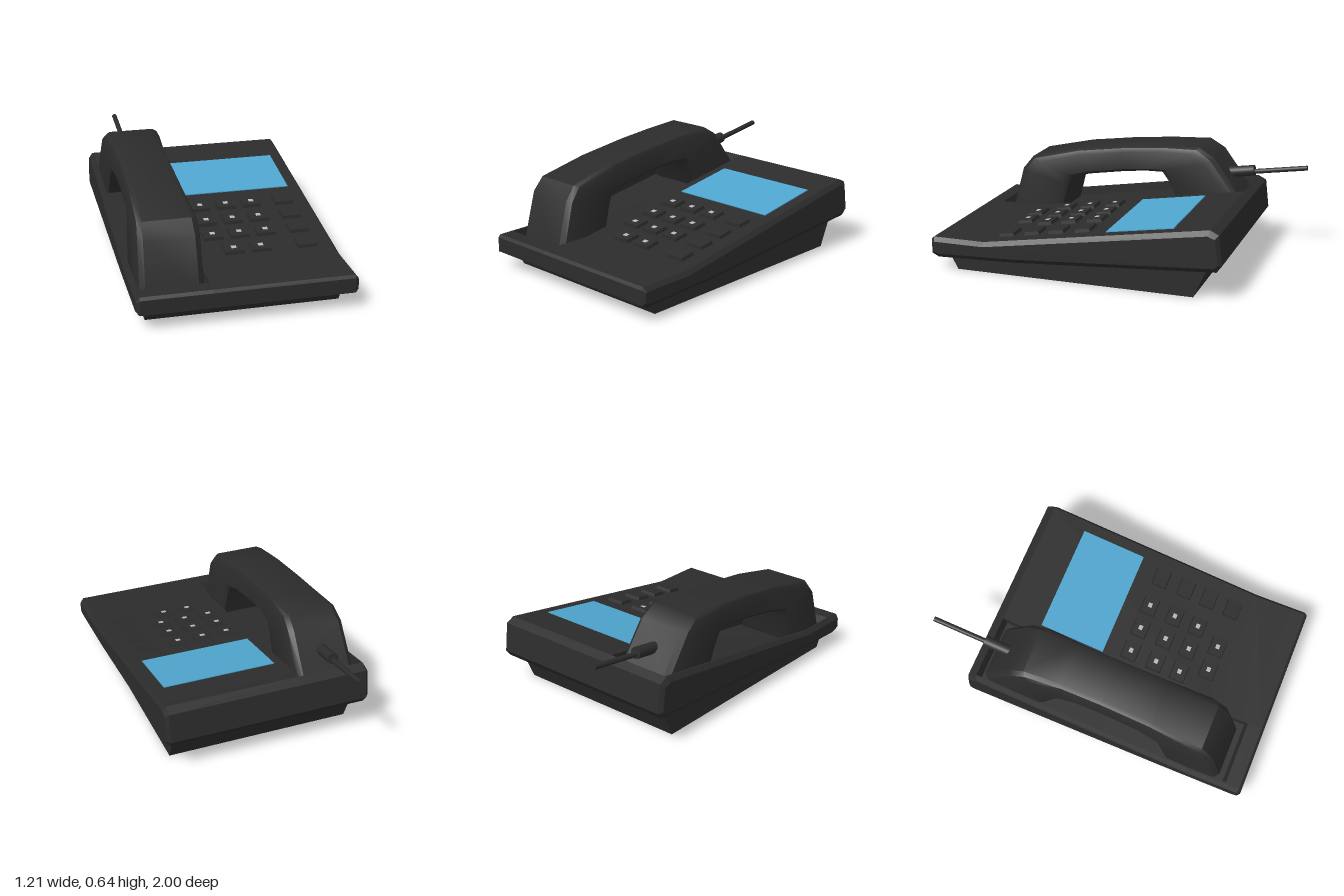
import * as THREE from 'three';
import { toCreasedNormals } from 'three/addons/utils/BufferGeometryUtils.js';

const mat = (name, color) => Object.assign(new THREE.MeshStandardMaterial({ color }), { name });

// Skin over rings of [x, y, z] points; optional end caps lie in planes of constant x.
function loft(rings, crease, capped) {
  const n = rings[0].length;
  const index = [];
  for (let i = 0; i < rings.length - 1; i++) {
    for (let j = 0; j < n; j++) {
      const a = i * n + j, b = i * n + (j + 1) % n, c = b + n, d = a + n;
      index.push(a, c, b, a, d, c);
    }
  }
  if (capped) {
    for (const r of [0, rings.length - 1]) {
      const pts = rings[r].map((p) => new THREE.Vector2(p[2], p[1]));
      for (const [a, b, c] of THREE.ShapeUtils.triangulateShape(pts, [])) {
        const area = THREE.ShapeUtils.area([pts[a], pts[b], pts[c]]);
        const keep = (area > 0) === (r === 0);
        index.push(r * n + a, r * n + (keep ? b : c), r * n + (keep ? c : b));
      }
    }
  }
  const geo = new THREE.BufferGeometry();
  geo.setAttribute('position', new THREE.Float32BufferAttribute(rings.flat(2), 3));
  geo.setIndex(index);
  return toCreasedNormals(geo, crease);
}

export function createModel() {
  const dark = mat('charcoal plastic', 0x2c2c2c);
  const blue = mat('blue screen', 0x4fa6d0);
  const pale = mat('pale key mark', 0xb8b8b8);
  const model = new THREE.Group();
  model.name = 'deskPhone';
  const add = (name, geo, material, parent = model) => {
    const mesh = new THREE.Mesh(geo, material);
    mesh.name = name;
    parent.add(mesh);
    return mesh;
  };

  // Side profiles as [z, y], running from the front over the top to the back
  const under = [[-0.71, 0.385], [-0.73, 0.215], [-0.7, 0.175], [0.5, 0.095], [0.96, 0.08], [1, 0.1]];
  const full = [[1, 0.185], [0.985, 0.2], [0.67, 0.2], [-0.66, 0.41], ...under];
  const inset = [[0.985, 0.17], [0.975, 0.175], [0.67, 0.175], [-0.65, 0.38], [-0.69, 0.365],
    [-0.71, 0.22], [-0.69, 0.2], [0.5, 0.12], [0.95, 0.105], [0.985, 0.115]];
  const recess = [[1, 0.185], [0.985, 0.2], [0.9, 0.2], [0.88, 0.15], [0.67, 0.15],
    [-0.64, 0.35], [-0.66, 0.41], ...under];
  const at = (x, profile) => profile.map(([z, y]) => [x, y, z]);

  // Body: chamfered outer rim, sunken cradle, and the wide control side
  const body = new THREE.Group();
  body.name = 'body';
  model.add(body);
  add('cradleRim', loft([at(-0.605, inset), at(-0.585, full), at(-0.575, full)], 0.2, true), dark, body);
  add('cradle', loft([at(-0.575, recess), at(-0.195, recess)], 0.2, true), dark, body);
  add('controlSide', loft([at(-0.195, full), at(0.585, full), at(0.605, inset)], 0.2, true), dark, body);

  // Foot under the body
  const foot = [[0.92, 0.11], [-0.65, 0.2], [-0.56, 0], [0.86, 0]];
  add('foot', loft([at(-0.54, foot), at(0.54, foot)], 0.2, true), dark);

  // Handset: [outer z, outer y, inner z, inner y, half width] from front foot to back foot
  const handset = new THREE.Group();
  handset.name = 'handset';
  handset.position.x = -0.385;
  model.add(handset);
  const stations = [
    [0.85, 0.14, 0.52, 0.14, 0.187], [0.775, 0.42, 0.465, 0.35, 0.18], [0.71, 0.5, 0.44, 0.395, 0.172],
    [0.4, 0.572, 0.33, 0.42, 0.155], [0.1, 0.612, 0.1, 0.455, 0.15], [-0.15, 0.633, -0.04, 0.47, 0.152],
    [-0.37, 0.64, -0.145, 0.475, 0.168], [-0.46, 0.585, -0.19, 0.42, 0.177], [-0.635, 0.345, -0.26, 0.28, 0.182],
  ];
  // Cross-section: [share of half width, share of the way from inner to outer side]
  const section = [[0.9, 0], [1, 0.1], [1, 0.78], [0.93, 0.93], [0.78, 1],
    [-0.78, 1], [-0.93, 0.93], [-1, 0.78], [-1, 0.1], [-0.9, 0]];
  const rings = stations.map(([oz, oy, iz, iy, w]) =>
    section.map(([u, t]) => [u * w, iy + (oy - iy) * t, iz + (oz - iz) * t]));
  add('handsetShell', loft(rings, 0.6, false), dark, handset);

  // Antenna: thick sleeve and thin rod
  const tilt = Math.atan2(0.15, 1);
  const rod = (name, radius, z0, z1) => {
    const m = add(name, new THREE.CylinderGeometry(radius, radius, (z0 - z1) / Math.cos(tilt), 12), dark, handset);
    const z = (z0 + z1) / 2;
    m.position.set(-0.002, 0.48 - (z + 0.6) * 0.12, z);
    m.rotation.x = -Math.PI / 2 + tilt;
  };
  rod('antennaSleeve', 0.033, -0.5, -0.68);
  rod('antennaRod', 0.015, -0.66, -0.998);

  // Parts lying on the sloped top
  const slope = Math.atan2(0.21, 1.33);
  const onTop = (obj, x, z, lift) => {
    obj.position.set(x, 0.41 - (z + 0.66) * Math.tan(slope) + lift, z);
    obj.rotation.x = slope;
    return obj;
  };
  onTop(add('screen', new THREE.BoxGeometry(0.66, 0.008, 0.395), blue), 0.19, -0.245, 0.001);

  // Keys: caps tapering to a smaller top
  const cap = new THREE.BoxGeometry(0.12, 0.03, 0.1);
  const p = cap.attributes.position;
  for (let i = 0; i < p.count; i++) {
    if (p.getY(i) > 0) p.setXYZ(i, p.getX(i) * 0.9, p.getY(i), p.getZ(i) * 0.85);
  }
  cap.computeVertexNormals();
  const mark = new THREE.BoxGeometry(0.028, 0.004, 0.024);
  const columns = [-0.065, 0.09, 0.245];
  const rows = [[0.1, columns], [0.26, columns], [0.41, columns], [0.565, [0.02, 0.175]]];
  const keypad = new THREE.Group();
  keypad.name = 'keypad';
  model.add(keypad);
  for (const [z, xs] of rows) {
    for (const x of [...xs, 0.44]) {
      const key = onTop(add('key', cap, dark, keypad), x, z, 0.004);
      if (x !== 0.44) add('keyMark', mark, pale, key).position.y = 0.0155;
    }
  }
  return model;
}
